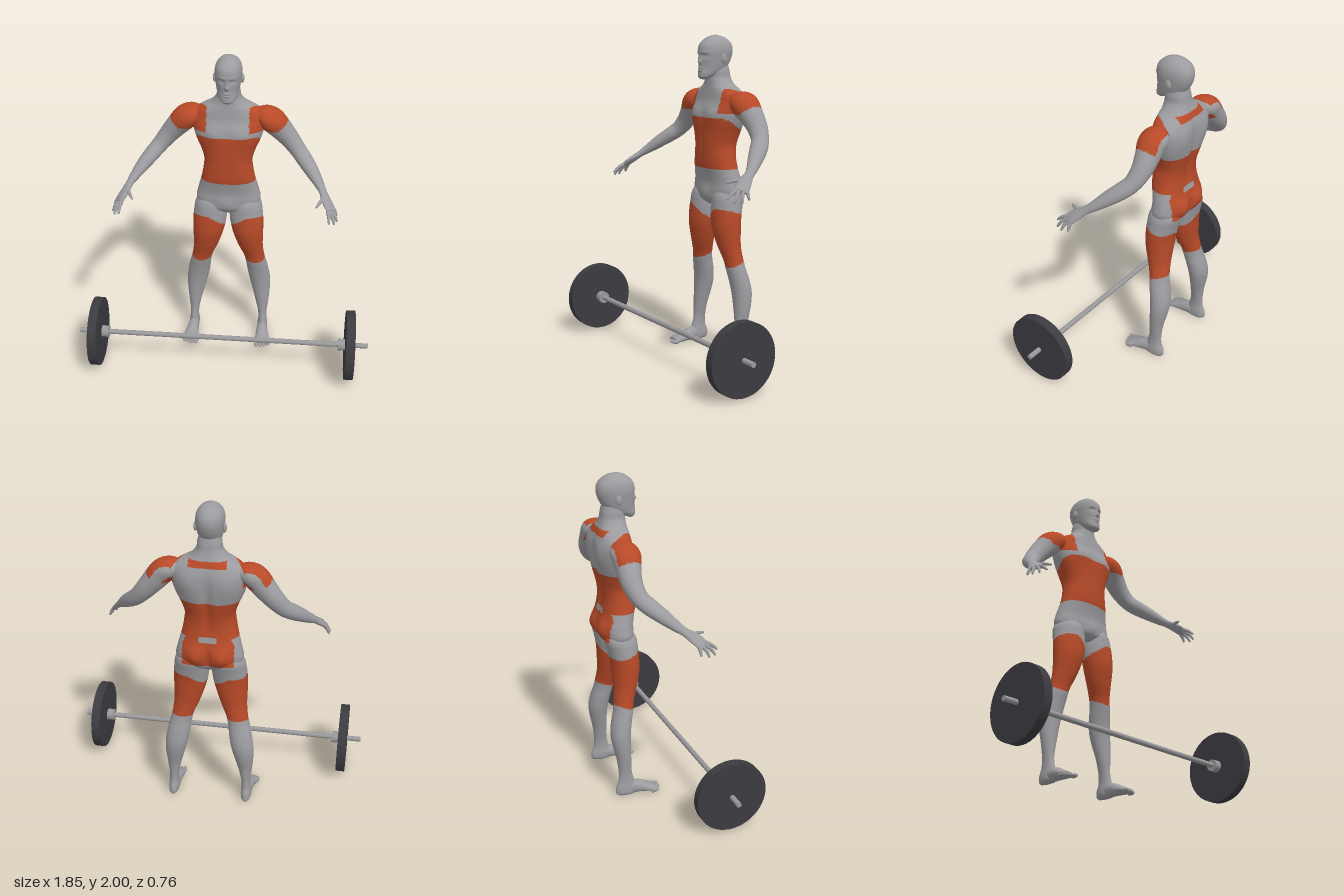
import * as THREE from 'three';

const mat = (name, color) => Object.assign(new THREE.MeshStandardMaterial({ color }), { name });
const grey = mat('body grey', 0x9c9b9f);
const orange = mat('muscle orange', 0xb84a28);
const steel = mat('bar steel', 0x98979a);
const rubber = mat('plate rubber', 0x3c3b40);

// Catmull-Rom interpolation of every column of a table of sections, t in 0..1
function sample(rows, t) {
  const last = rows.length - 1, s = t * last;
  const i = Math.min(Math.floor(s), last - 1), f = s - i;
  const [a, b, c, d] = [i - 1, i, i + 1, i + 2].map(k => rows[Math.min(Math.max(k, 0), last)]);
  return b.map((_, k) => 0.5 * (2 * b[k] + (c[k] - a[k]) * f
    + (2 * a[k] - 5 * b[k] + 4 * c[k] - d[k]) * f * f
    + (3 * b[k] - a[k] - 3 * c[k] + d[k]) * f * f * f));
}

// Closed skin over rings of points; turned outward by its signed volume
function skin(rings, n, point) {
  const pos = [], idx = [];
  for (let i = 0; i <= rings; i++)
    for (let j = 0; j < n; j++) pos.push(...point(i / rings, (j / n) * Math.PI * 2));
  for (let i = 0; i < rings; i++)
    for (let j = 0; j < n; j++) {
      const a = i * n + j, b = i * n + (j + 1) % n;
      idx.push(a, a + n, b, b, a + n, b + n);
    }
  for (const r of [0, rings]) {
    const c = [0, 0, 0], k = pos.length / 3;
    for (let j = 0; j < n; j++) for (let e = 0; e < 3; e++) c[e] += pos[(r * n + j) * 3 + e] / n;
    pos.push(...c);
    for (let j = 0; j < n; j++) {
      const a = r * n + j, b = r * n + (j + 1) % n;
      idx.push(...(r ? [k, b, a] : [k, a, b]));
    }
  }
  const v = k => new THREE.Vector3(pos[k * 3], pos[k * 3 + 1], pos[k * 3 + 2]);
  let volume = 0;
  for (let i = 0; i < idx.length; i += 3) volume += v(idx[i]).dot(v(idx[i + 1]).cross(v(idx[i + 2])));
  if (volume < 0) idx.reverse();
  const g = new THREE.BufferGeometry();
  g.setAttribute('position', new THREE.Float32BufferAttribute(pos, 3));
  g.setIndex(idx);
  g.computeVertexNormals();
  return g;
}

// Upright loft: rows of [y, xMin, xMax, zFront, zBack]; bumps are [x, y, sizeX, sizeY, amount]
function loft(rows, { side = 1, n = 48, steps = 6, power = 2, front = [], back = [] } = {}) {
  const pw = v => Math.sign(v) * Math.abs(v) ** (2 / power);
  return skin((rows.length - 1) * steps, n, (t, a) => {
    const [y, x0, x1, zf, zb] = sample(rows, t), s = Math.sin(a);
    const x = (x0 + x1) / 2 + (x1 - x0) / 2 * pw(Math.cos(a));
    let z = (zf + zb) / 2 + (zf - zb) / 2 * pw(s);
    for (const [bx, by, sx, sy, amount] of s > 0 ? front : back)
      z += Math.sign(s) * Math.min(1, Math.abs(s) * 2) * amount
        * Math.exp(-(((Math.abs(x) - bx) / sx) ** 2) - ((y - by) / sy) ** 2);
    return [side * x, y, z];
  });
}

// Limb along a path: rows of [x, y, z, width, thickness]; ref points across the width
function limb(rows, side, ref = [0.38, 0, -0.92], n = 28, steps = 7) {
  const R = new THREE.Vector3(...ref);
  return skin((rows.length - 1) * steps, n, (t, a) => {
    const r = sample(rows, t), p = sample(rows, Math.max(0, t - 0.01)), q = sample(rows, Math.min(1, t + 0.01));
    const T = new THREE.Vector3(q[0] - p[0], q[1] - p[1], q[2] - p[2]).normalize();
    const A = R.clone().addScaledVector(T, -R.dot(T)).normalize(), B = T.clone().cross(A);
    const o = new THREE.Vector3(r[0], r[1], r[2])
      .addScaledVector(A, Math.cos(a) * r[3]).addScaledVector(B, Math.sin(a) * r[4]);
    return [side * o.x, o.y, o.z];
  });
}

// Orange muscle zones
function isOrange(px, y, z) {
  const x = Math.abs(px);
  const shoulder = x > 0.13 + Math.max(0, -0.2 - z) * 0.6 && y > 1.53 && z > -0.335 && 0.6 * x - 0.75 * y < -0.968;
  const upperBack = x < 0.11 && y > 1.655 && y < 1.69 && z < -0.29;
  const frontness = THREE.MathUtils.smoothstep(z, -0.3, -0.15);
  const waist = x < 0.23 && y > 1.185 && y < 1.43 + 0.07 * frontness;
  const seat = z < -0.305 && x < 0.155 && y > 1.01 && y < 1.19 && !(x < 0.05 && y > 1.165);
  const thigh = y > 0.61 - 0.045 * frontness && y < 0.91 + 0.03 * frontness - Math.max(0, 0.12 - x) * 0.7;
  return shoulder || upperBack || (waist && !(x < 0.05 && y < 1.2 && z < -0.3)) || seat || thigh;
}

// Mesh whose faces are sorted into grey and orange groups
function painted(name, g) {
  const p = g.attributes.position, sets = [[], []], src = g.index.array;
  for (let i = 0; i < src.length; i += 3) {
    const tri = [src[i], src[i + 1], src[i + 2]];
    const mid = f => tri.reduce((s, k) => s + f(k), 0) / 3;
    sets[isOrange(mid(k => p.getX(k)), mid(k => p.getY(k)), mid(k => p.getZ(k))) ? 1 : 0].push(...tri);
  }
  g.setIndex([...sets[0], ...sets[1]]);
  g.addGroup(0, sets[0].length, 0);
  g.addGroup(sets[0].length, sets[1].length, 1);
  return mesh(name, g, [grey, orange]);
}

function mesh(name, g, m) {
  const o = new THREE.Mesh(g, m);
  o.name = name;
  return o;
}

function ball(name, x, y, z, rx, ry, rz) {
  const o = mesh(name, new THREE.SphereGeometry(1, 20, 14), grey);
  o.position.set(x, y, z);
  o.scale.set(rx, ry, rz);
  return o;
}

const even = rows => rows.map(([y, r, f, b]) => [y, -r, r, f, b]);

const torso = even([
  [0.955, 0.07, -0.19, -0.29], [0.99, 0.17, -0.155, -0.33], [1.04, 0.203, -0.15, -0.35],
  [1.1, 0.193, -0.15, -0.352], [1.15, 0.18, -0.142, -0.342], [1.2, 0.167, -0.131, -0.335],
  [1.26, 0.156, -0.127, -0.33], [1.33, 0.15, -0.126, -0.338], [1.4, 0.17, -0.126, -0.355],
  [1.47, 0.2, -0.125, -0.368], [1.54, 0.22, -0.135, -0.374], [1.6, 0.222, -0.155, -0.372],
  [1.645, 0.2, -0.163, -0.36], [1.675, 0.155, -0.167, -0.347], [1.7, 0.108, -0.17, -0.335],
  [1.74, 0.076, -0.172, -0.322], [1.78, 0.07, -0.172, -0.315], [1.82, 0.06, -0.18, -0.305]]);

const head = even([
  [1.732, 0.02, -0.122, -0.15], [1.745, 0.04, -0.108, -0.18], [1.765, 0.055, -0.107, -0.235],
  [1.79, 0.065, -0.11, -0.285], [1.82, 0.072, -0.111, -0.31], [1.86, 0.078, -0.111, -0.33],
  [1.9, 0.082, -0.109, -0.339], [1.94, 0.077, -0.118, -0.333], [1.97, 0.06, -0.145, -0.308],
  [1.99, 0.036, -0.178, -0.272], [2.0, 0.006, -0.215, -0.23]]);

const leg = [
  [1.08, 0.04, 0.16, -0.19, -0.32], [1.02, 0.014, 0.206, -0.152, -0.345], [0.95, 0.008, 0.22, -0.142, -0.33],
  [0.88, 0.014, 0.226, -0.138, -0.316], [0.8, 0.032, 0.226, -0.141, -0.31], [0.7, 0.066, 0.225, -0.165, -0.305],
  [0.62, 0.1, 0.234, -0.19, -0.312], [0.56, 0.114, 0.248, -0.2, -0.322], [0.5, 0.122, 0.262, -0.213, -0.338],
  [0.42, 0.136, 0.275, -0.226, -0.35], [0.34, 0.156, 0.277, -0.23, -0.341], [0.25, 0.18, 0.27, -0.23, -0.321],
  [0.16, 0.2, 0.26, -0.228, -0.312], [0.1, 0.204, 0.26, -0.215, -0.315], [0.055, 0.2, 0.265, -0.2, -0.331],
  [0.02, 0.202, 0.265, -0.19, -0.333], [0.004, 0.212, 0.256, -0.2, -0.32]];

const arm = [
  [0.17, 1.615, -0.27, 0.05, 0.04], [0.22, 1.605, -0.265, 0.085, 0.062], [0.268, 1.577, -0.26, 0.088, 0.074],
  [0.32, 1.52, -0.268, 0.073, 0.069], [0.375, 1.455, -0.268, 0.062, 0.059], [0.43, 1.39, -0.245, 0.053, 0.05],
  [0.475, 1.345, -0.2, 0.053, 0.046], [0.52, 1.3, -0.145, 0.046, 0.04], [0.565, 1.25, -0.085, 0.034, 0.029],
  [0.59, 1.22, -0.045, 0.028, 0.021], [0.61, 1.19, -0.005, 0.037, 0.019], [0.633, 1.158, 0.034, 0.043, 0.016],
  [0.645, 1.14, 0.056, 0.036, 0.011]];

// Foot path runs heel to toe, width across x
const foot = [
  [0.232, 0.036, -0.31, 0.024, 0.035], [0.232, 0.045, -0.25, 0.03, 0.044], [0.234, 0.042, -0.19, 0.037, 0.041],
  [0.238, 0.031, -0.14, 0.045, 0.03], [0.243, 0.022, -0.1, 0.052, 0.021], [0.244, 0.017, -0.075, 0.05, 0.014]];

// Fingers: base, middle and tip
const fingers = {
  thumb: [[0.597, 1.197, 0.0], [0.578, 1.192, 0.048], [0.555, 1.18, 0.09]],
  indexFinger: [[0.625, 1.15, 0.07], [0.632, 1.13, 0.106], [0.635, 1.1, 0.14]],
  middleFinger: [[0.634, 1.148, 0.055], [0.655, 1.117, 0.092], [0.667, 1.08, 0.115]],
  ringFinger: [[0.645, 1.146, 0.036], [0.668, 1.115, 0.06], [0.684, 1.08, 0.072]],
  littleFinger: [[0.65, 1.15, 0.016], [0.67, 1.12, 0.022], [0.681, 1.093, 0.022]],
};

// Wheel-like part lying along x
function barPart(name, radius, x, length, material) {
  const o = mesh(name, new THREE.CylinderGeometry(radius, radius, length, 48).rotateZ(Math.PI / 2), material);
  o.position.set(x, 0.228, 0.166);
  return o;
}

export function createModel() {
  const model = new THREE.Group(), figure = new THREE.Group(), barbell = new THREE.Group();
  model.name = 'weightlifter';
  figure.name = 'figure';
  barbell.name = 'barbell';
  model.add(figure, barbell);

  // Torso with chest, back and seat relief
  figure.add(painted('torso', loft(torso, {
    n: 96, steps: 7, power: 2.3,
    front: [[0.09, 1.52, 0.06, 0.045, 0.012], [0, 1.36, 0.012, 0.12, -0.005], [0, 1.03, 0.04, 0.04, 0.01]],
    back: [[0, 1.42, 0.028, 0.2, -0.018], [0.11, 1.55, 0.05, 0.07, 0.01],
      [0.08, 1.07, 0.055, 0.06, 0.025], [0, 1.06, 0.015, 0.06, -0.018]],
  })));

  // Head with eye sockets, eyes, nose, lips and chin
  figure.add(mesh('head', loft(head, {
    n: 128, steps: 9, power: 2.2,
    front: [[0.032, 1.875, 0.017, 0.011, -0.012], [0.032, 1.874, 0.01, 0.006, 0.006], [0.028, 1.895, 0.025, 0.008, 0.003],
      [0, 1.838, 0.012, 0.012, 0.016], [0, 1.862, 0.008, 0.02, 0.007], [0, 1.801, 0.022, 0.006, 0.006],
      [0, 1.786, 0.019, 0.006, 0.006], [0, 1.793, 0.022, 0.002, -0.003], [0.045, 1.81, 0.018, 0.025, -0.005]],
  }), grey));

  for (const s of [1, -1]) {
    const label = s > 0 ? 'left ' : 'right ';
    figure.add(ball(label + 'ear', s * 0.083, 1.857, -0.232, 0.011, 0.029, 0.02));
    figure.add(painted(label + 'arm', limb(arm, s, undefined, 40)));
    for (const [name, path] of Object.entries(fingers)) {
      const rows = path.map((p, i) => [...p, ...Array(2).fill([0.012, 0.0105, 0.006][i])]);
      figure.add(mesh(label + name, limb(rows, s, name === 'thumb' ? [0, 1, 0] : undefined, 12, 4), grey));
    }
    figure.add(painted(label + 'leg', loft(leg, { side: s, steps: 8 })));
    figure.add(mesh(label + 'foot', limb(foot, s, [1, 0, 0]), grey));
    [[0.205, -0.07, 0.014], [0.23, -0.07, 0.011], [0.251, -0.077, 0.0105], [0.27, -0.086, 0.01], [0.286, -0.096, 0.0095]]
      .forEach(([x, z, r]) => figure.add(ball(label + 'toe', s * x, r, z, r, r, 0.027)));

    // Weight plate and collar
    barbell.add(barPart(label + 'plate', 0.2195, s * 0.81, 0.056, rubber));
    barbell.add(barPart(label + 'collar', 0.037, s * 0.762, 0.05, steel));
  }
  barbell.add(barPart('bar', 0.016, 0, 1.852, steel));
  return model;
}
